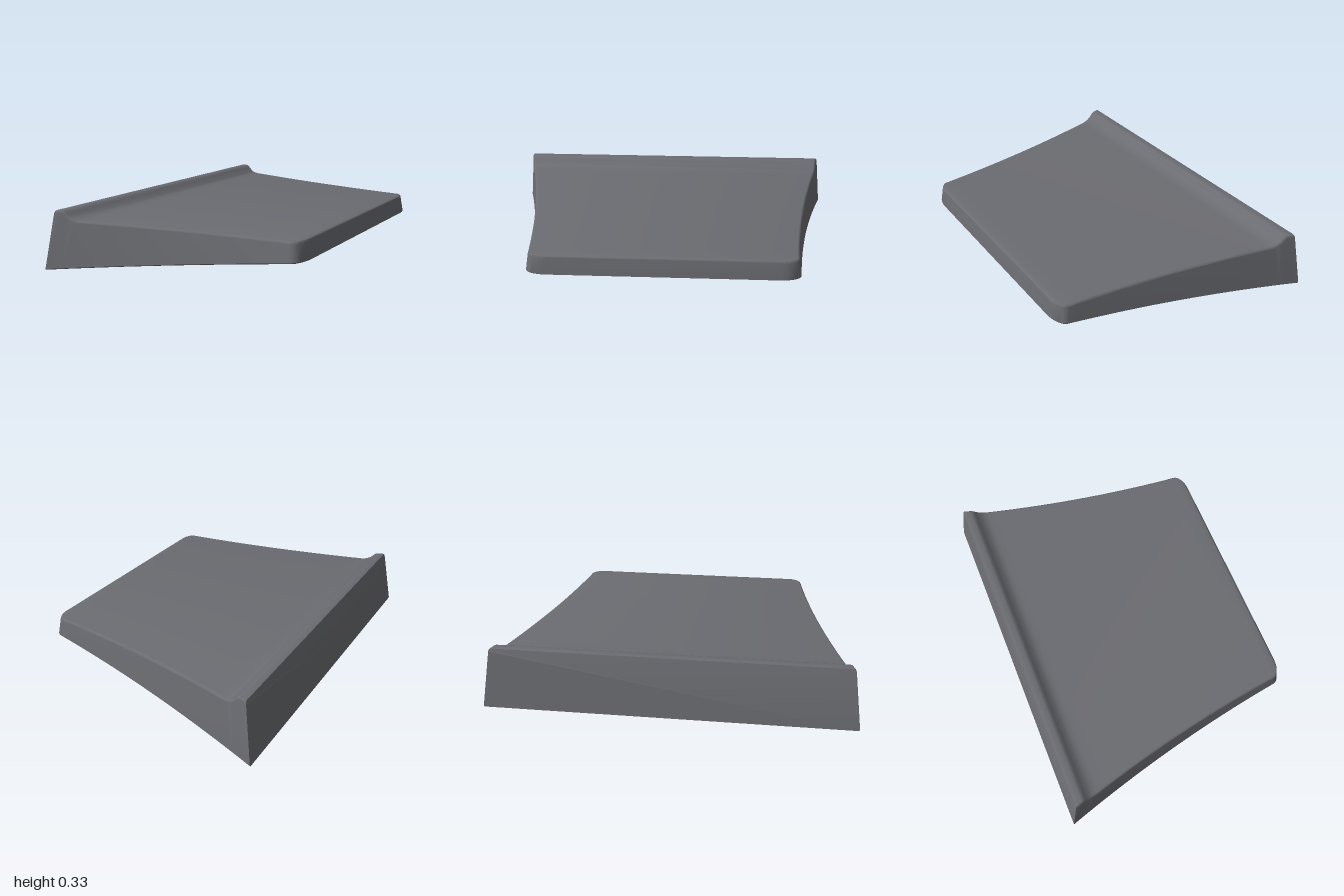
import * as THREE from 'three';
import { toCreasedNormals } from 'three/addons/utils/BufferGeometryUtils.js';

// Top surface, seen from the side: raised lip, cove, flat deck, rolled front edge
const TOP = [
  [-0.66, 0.323], [-0.658, 0.328], [-0.653, 0.33], [-0.618, 0.33], [-0.608, 0.327], [-0.595, 0.314],
  [-0.58, 0.3], [-0.56, 0.288], [-0.54, 0.282], [-0.52, 0.28],
  [0.684, 0.28], [0.69, 0.278], [0.694, 0.274], [0.695, 0.27],
];
const FRONT = 0.71, CORNER = 0.655;

function topHeight(x) {
  for (let i = 1; i < TOP.length; i++) {
    const [x0, y0] = TOP[i - 1], [x1, y1] = TOP[i];
    if (x <= x1) return y0 + (y1 - y0) * Math.max(0, (x - x0) / (x1 - x0));
  }
  return TOP[TOP.length - 1][1];
}

// Half width of the base outline: flared sides, rounded front corners
function halfWidth(x) {
  const side = 0.825 - 0.2 * x + 0.065 * x * x;
  if (x <= CORNER) return side;
  const t = Math.min(1, (x - CORNER) / (FRONT - CORNER));
  return 0.61 + (side - 0.61) * Math.sqrt(1 - t * t);
}

// The top is slightly shorter than the base, so both ends lean inwards
const toTop = (x) => -0.66 + ((x + FRONT) / (2 * FRONT)) * 1.355;
const toBase = (x) => -FRONT + ((x + 0.66) / 1.355) * 2 * FRONT;

// One closed section: bottom edge, leaning wall and rounded top edge, mirrored
function section(xb) {
  const xt = toTop(xb);
  const yb = 0.09 + 0.127 * xb, yt = topHeight(xt);
  const w = halfWidth(xb), wt = w - 0.13 * (yt - yb), r = 0.014;
  const half = [[w - 0.005, yb], [w, yb + 0.005]];
  for (let i = 0; i <= 4; i++) {
    const a = (i / 4) * Math.PI / 2;
    half.push([wt - r + r * Math.cos(a), yt - r + r * Math.sin(a)]);
  }
  const ring = half.concat(half.map(([z, y]) => [-z, y]).reverse());
  return ring.map(([z, y]) => [xb + (xt - xb) * (y - yb) / (yt - yb), y, z]);
}

function wedgeGeometry() {
  const stations = TOP.map(([x]) => toBase(x));
  for (let i = 1; i <= 24; i++) stations.push(-0.56 + (CORNER + 0.56) * i / 24);
  for (let i = 1; i < 12; i++) {
    stations.push(CORNER + (FRONT - CORNER) * Math.sin((i / 12) * Math.PI / 2));
  }
  stations.sort((a, b) => a - b);
  const rings = stations.map(section);
  const n = rings[0].length, last = (rings.length - 1) * n;
  const index = [];
  for (let i = 0; i < rings.length - 1; i++) {
    for (let j = 0; j < n; j++) {
      const a = i * n + j, b = i * n + (j + 1) % n;
      index.push(a, a + n, b + n, a, b + n, b);
    }
  }
  // End faces
  for (let j = 1; j < n - 1; j++) {
    index.push(0, j, j + 1, last, last + j + 1, last + j);
  }
  const geometry = new THREE.BufferGeometry();
  geometry.setAttribute('position', new THREE.Float32BufferAttribute(rings.flat(2), 3));
  geometry.setIndex(index);
  return toCreasedNormals(geometry, 0.6);
}

export function createModel() {
  const group = new THREE.Group();
  group.name = 'flaredWedge';
  const grey = new THREE.MeshStandardMaterial({ color: 0x6b6c71 });
  grey.name = 'slate grey';
  const body = new THREE.Mesh(wedgeGeometry(), grey);
  body.name = 'wedgeBody';
  group.add(body);
  return group;
}
